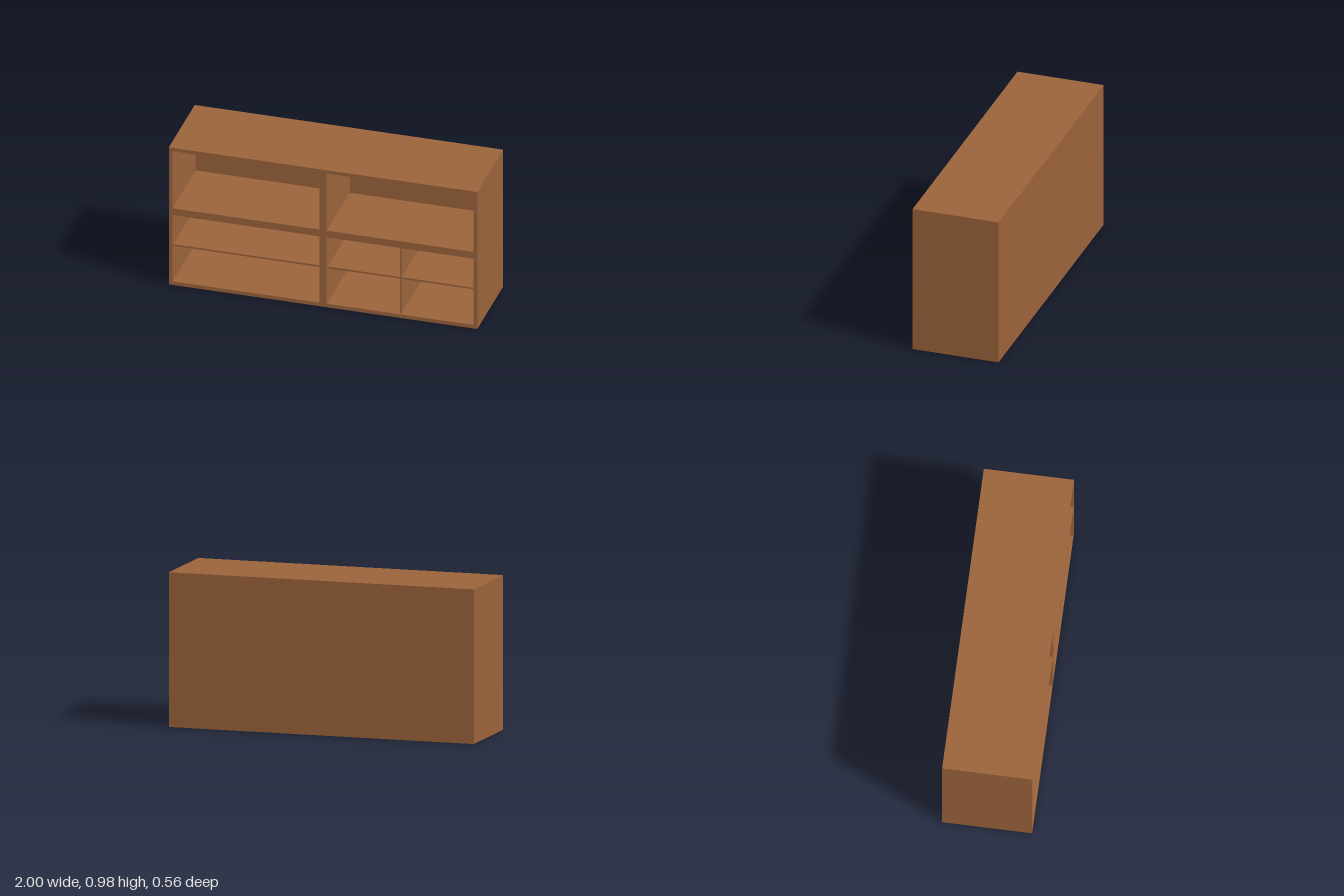
import * as THREE from 'three';

const W = 2, H = 0.975, D = 0.565;   // overall size
const BACK = 0.06;                   // back panel thickness
const RECESS = 0.02;                 // thin boards sit behind the front edge
const BOARD = 0.012;                 // thin board thickness

// Openings: x range and y range
const COLUMNS = [[-0.976, -0.024], [0.024, 0.976]];
const UPPER = [0.545, 0.951];
const LOWER = [0.025, 0.497];
const SHELF_Y = 0.273, DIVIDER_X = 0.498;

function rectangle(target, [x0, x1], [y0, y1]) {
  target.moveTo(x0, y0);
  target.lineTo(x1, y0);
  target.lineTo(x1, y1);
  target.lineTo(x0, y1);
  target.closePath();
  return target;
}

export function createModel() {
  const group = new THREE.Group();
  const wood = new THREE.MeshStandardMaterial({ color: 0x9b633b });
  wood.name = 'brownWood';

  const add = (name, geometry, x, y, z) => {
    const mesh = new THREE.Mesh(geometry, wood);
    mesh.name = name;
    mesh.position.set(x, y, z);
    group.add(mesh);
  };

  // Carcass: one frame with four openings
  const outline = rectangle(new THREE.Shape(), [-W / 2, W / 2], [0, H]);
  for (const column of COLUMNS)
    for (const row of [UPPER, LOWER])
      outline.holes.push(rectangle(new THREE.Path(), column, row));
  add('carcass', new THREE.ExtrudeGeometry(outline, { depth: D - BACK, bevelEnabled: false }),
    0, 0, -D / 2 + BACK);

  // Back panel
  add('backPanel', new THREE.BoxGeometry(W, H, BACK), 0, H / 2, -D / 2 + BACK / 2);

  // Thin shelves across both lower openings
  const depth = D - BACK - RECESS;
  const z = -D / 2 + BACK + depth / 2;
  for (const [x0, x1] of COLUMNS)
    add(x0 < 0 ? 'rightShelf' : 'leftShelf', new THREE.BoxGeometry(x1 - x0, BOARD, depth),
      (x0 + x1) / 2, SHELF_Y, z);

  // Thin upright dividers above and below the left shelf
  const spans = {
    lowerDivider: [LOWER[0], SHELF_Y - BOARD / 2],
    upperDivider: [SHELF_Y + BOARD / 2, LOWER[1]],
  };
  for (const [name, [y0, y1]] of Object.entries(spans))
    add(name, new THREE.BoxGeometry(BOARD, y1 - y0, depth), DIVIDER_X, (y0 + y1) / 2, z);

  return group;
}
